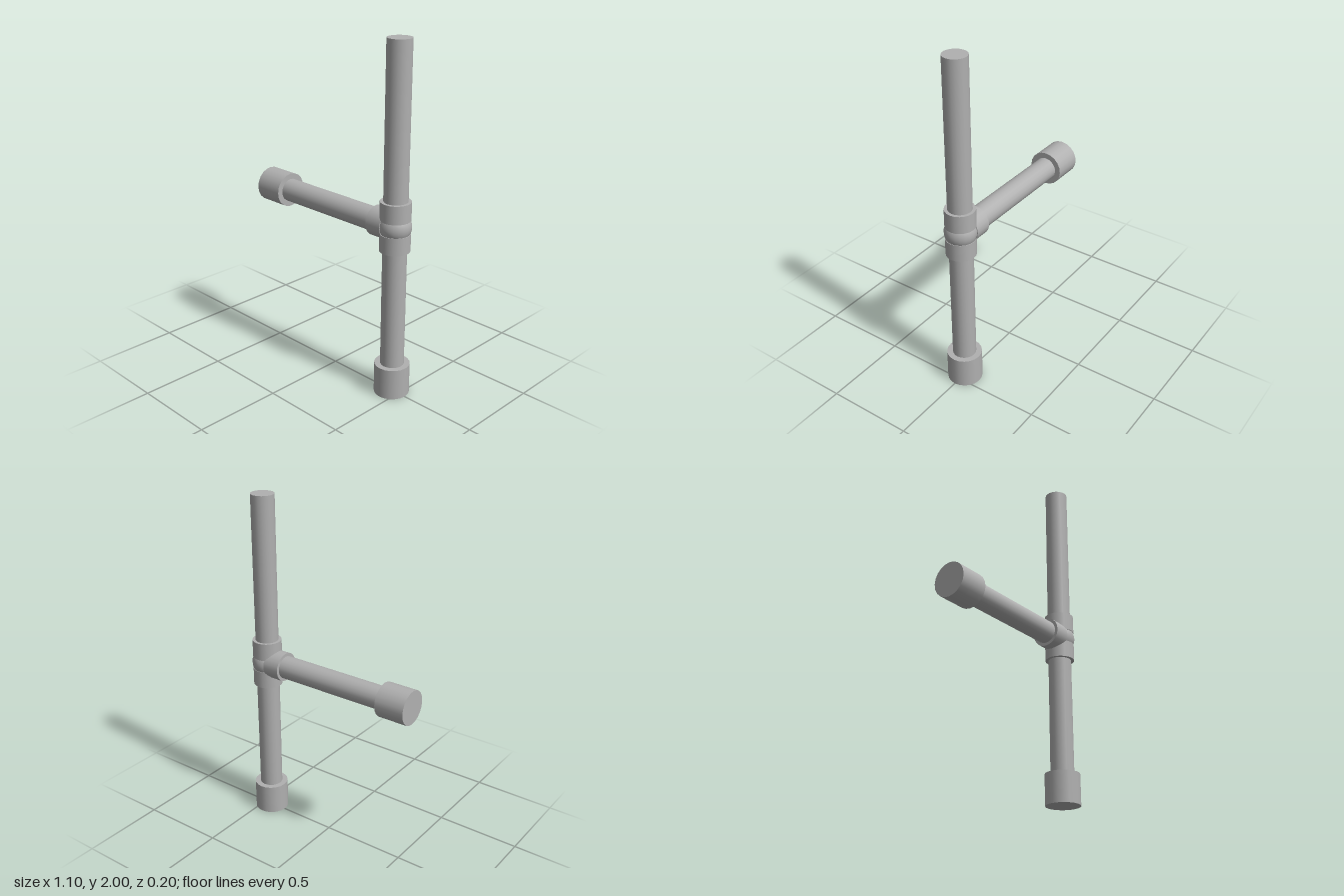
import * as THREE from 'three';

export function createModel() {
  const model = new THREE.Group();
  model.name = 'pipeTee';
  const metal = new THREE.MeshStandardMaterial({ color: 0xb0b0b0 });
  metal.name = 'grey metal';

  const AXIS = 0.447; // x of the upright pipe
  const MID = 1.0;    // height of the branch pipe
  const SIDES = 20;

  function add(name, geometry) {
    const mesh = new THREE.Mesh(geometry, metal);
    mesh.name = name;
    model.add(mesh);
    return mesh;
  }

  // Closed cylinder along the upright axis, from y0 to y1
  function upright(name, radius, y0, y1) {
    add(name, new THREE.CylinderGeometry(radius, radius, y1 - y0, SIDES))
      .position.set(AXIS, (y0 + y1) / 2, 0);
  }

  // Closed cylinder along the branch axis, from x0 to x1
  function branch(name, radius, x0, x1) {
    const geometry = new THREE.CylinderGeometry(radius, radius, x1 - x0, SIDES);
    geometry.rotateZ(Math.PI / 2);
    add(name, geometry).position.set((x0 + x1) / 2, MID, 0);
  }

  // Pipes
  upright('upperPipe', 0.067, MID, 2);
  upright('lowerPipe', 0.067, 0.1, MID);
  branch('branchPipe', 0.067, -0.45, AXIS);

  // End caps
  upright('bottomCap', 0.1, 0, 0.18);
  branch('branchCap', 0.1, -0.55, -0.373);

  // Tee joint: round core with three collars
  add('jointCore', new THREE.SphereGeometry(0.09, SIDES, 16)).position.set(AXIS, MID, 0);
  upright('upperCollar', 0.085, 1.038, 1.142);
  upright('lowerCollar', 0.085, 0.862, 0.962);
  branch('branchCollar', 0.085, 0.308, 0.409);

  return model;
}
